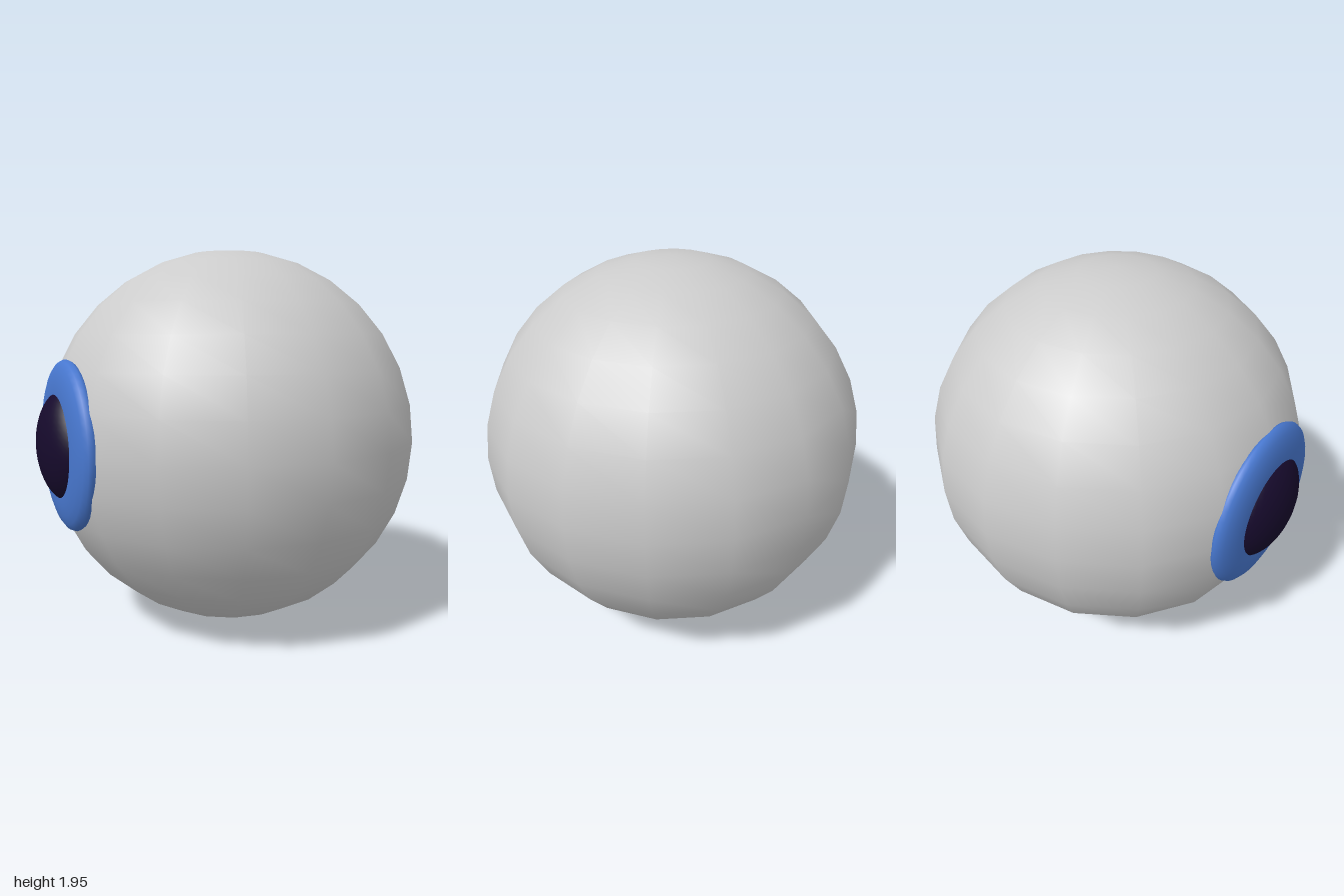
import * as THREE from 'three';

const CENTER_Y = 0.975;

export function createModel() {
  const group = new THREE.Group();

  const add = (name, geometry, color, x) => {
    const mesh = new THREE.Mesh(geometry, new THREE.MeshStandardMaterial({ color }));
    mesh.name = name;
    mesh.position.set(x, CENTER_Y, 0);
    group.add(mesh);
  };

  // Eyeball: coarse sphere with smooth shading
  add('eyeball', new THREE.SphereGeometry(0.973, 16, 16), 0xcccccc, 0.027);

  // Iris: flattened ring facing -x, half sunk into the eyeball
  const iris = new THREE.TorusGeometry(0.24, 0.18, 20, 48);
  iris.scale(1, 1, 0.36);
  iris.rotateY(-Math.PI / 2);
  add('iris', iris, 0x4878d0, -0.852);

  // Pupil: flattened ball bulging out of the ring
  const pupil = new THREE.SphereGeometry(0.275, 32, 24);
  pupil.scale(0.14 / 0.275, 1, 1);
  add('pupil', pupil, 0x160a2c, -0.86);

  return group;
}
